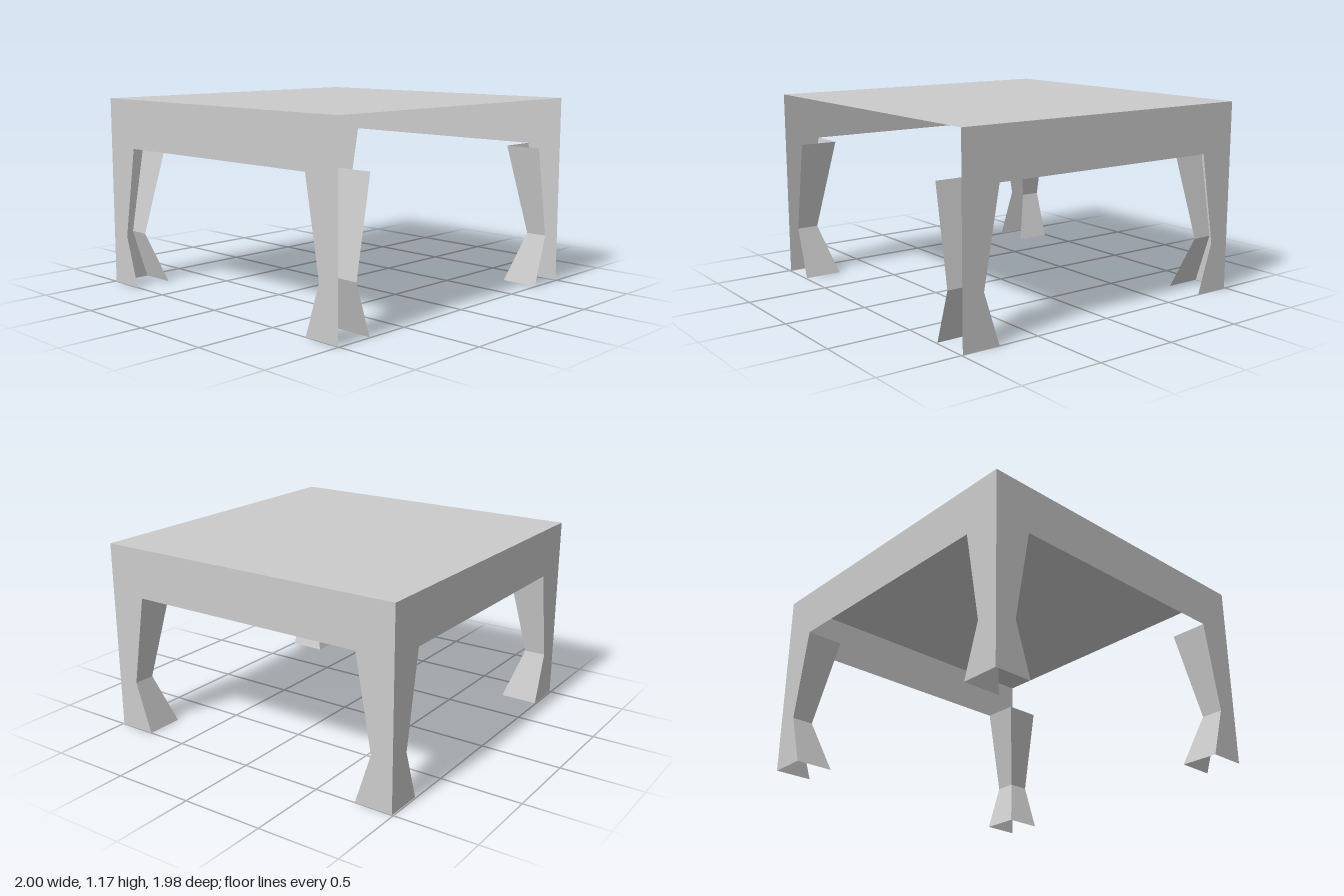
import * as THREE from 'three';

const HX = 1, HZ = 0.992, TOP = 1.17, APRON = 0.87;
// Leg width at foot, knee and apron
const LEVELS = [[0, 0.235], [0.31, 0.135], [APRON, 0.235]];

const material = new THREE.MeshStandardMaterial({ color: 0xcccccc, side: THREE.DoubleSide, flatShading: true });

function add(parent, name, geometry) {
  const mesh = new THREE.Mesh(geometry, material);
  mesh.name = name;
  parent.add(mesh);
  return mesh;
}

// Apron and the outer faces of two legs, cut from one sheet
function sheet(half) {
  const shape = new THREE.Shape();
  shape.moveTo(-half, TOP);
  shape.lineTo(-half, 0);
  LEVELS.forEach(([y, w]) => shape.lineTo(-half + w, y));
  [...LEVELS].reverse().forEach(([y, w]) => shape.lineTo(half - w, y));
  shape.lineTo(half, 0);
  shape.lineTo(half, TOP);
  return new THREE.ShapeGeometry(shape);
}

// Ruled strip through the leg levels; edge(w, t) gives [x, z] for t = 0 and 1
function strip(edge) {
  const points = [], index = [];
  LEVELS.forEach(([y, w], i) => {
    for (const t of [0, 1]) {
      const [x, z] = edge(w, t);
      points.push(x, y, z);
    }
    if (i) {
      const a = 2 * i - 2;
      index.push(a, a + 1, a + 2, a + 1, a + 3, a + 2);
    }
  });
  const geometry = new THREE.BufferGeometry();
  geometry.setAttribute('position', new THREE.Float32BufferAttribute(points, 3));
  geometry.setIndex(index);
  geometry.computeVertexNormals();
  return geometry;
}

export function createModel() {
  const table = new THREE.Group();
  table.name = 'table';

  // Table top
  const top = add(table, 'tableTop', new THREE.PlaneGeometry(2 * HX, 2 * HZ));
  top.rotation.x = -Math.PI / 2;
  top.position.y = TOP;

  // Back and side sheets; the front is open
  const back = add(table, 'backPanel', sheet(HX));
  back.rotation.y = Math.PI;
  back.position.z = -HZ;
  for (const s of [1, -1]) {
    const side = add(table, s > 0 ? 'leftPanel' : 'rightPanel', sheet(HZ));
    side.rotation.y = s * Math.PI / 2;
    side.position.x = s * HX;
  }

  // Inner leg faces; each leg is a channel open to the front
  for (const sx of [1, -1]) {
    for (const sz of [1, -1]) {
      const leg = new THREE.Group();
      leg.name = (sz > 0 ? 'front' : 'back') + (sx > 0 ? 'Left' : 'Right') + 'Leg';
      // Winding is mirrored with the side so normals point inward
      const flip = t => (sx * sz > 0 ? t : 1 - t);
      add(leg, 'innerSide', strip((w, t) => [sx * (HX - w), sz * (HZ - w * flip(1 - t))]));
      if (sz > 0) add(leg, 'innerBack', strip((w, t) => [sx * (HX - w * flip(t)), HZ - w]));
      table.add(leg);
    }
  }
  return table;
}
